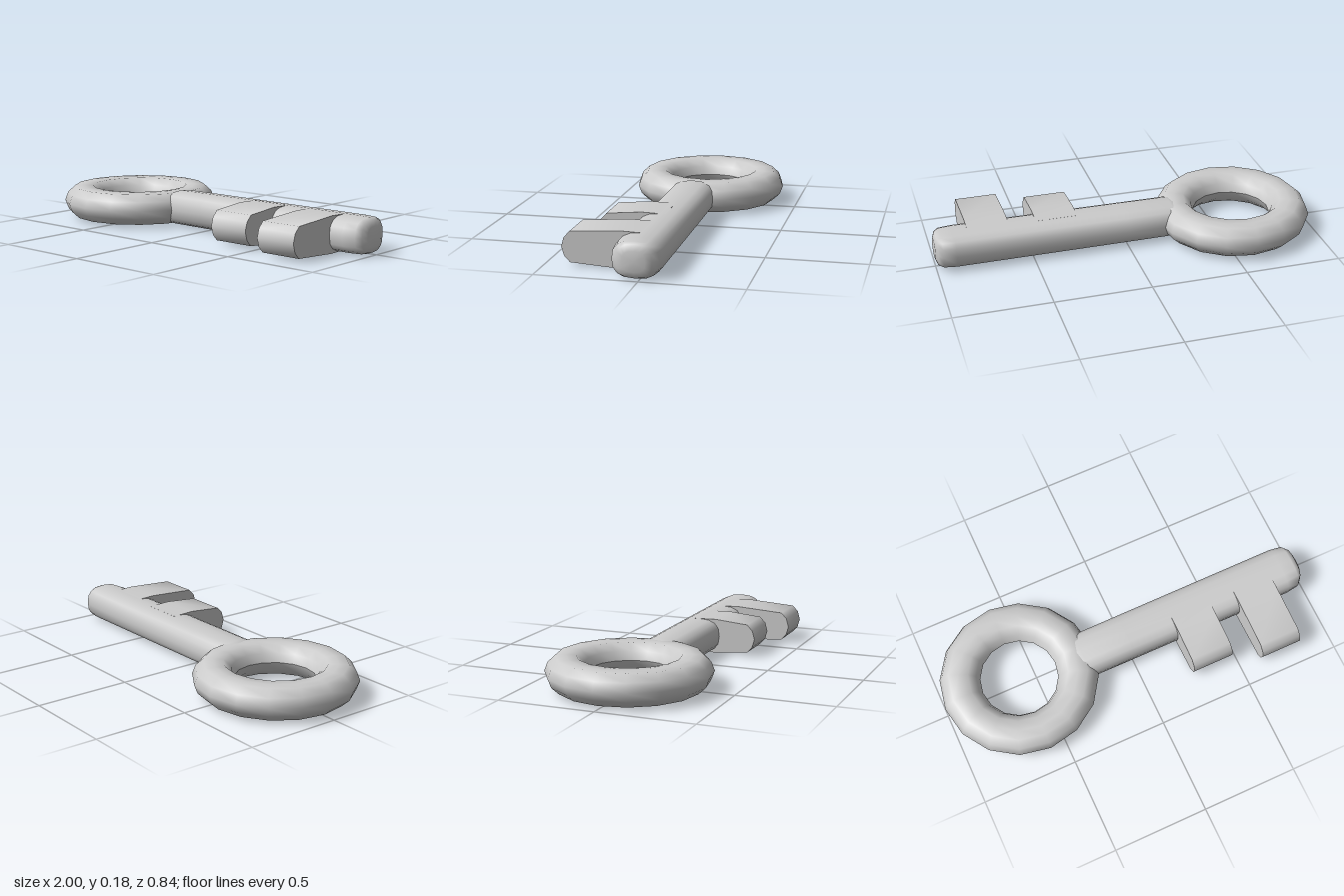
import * as THREE from 'three';
import { toCreasedNormals } from 'three/addons/utils/BufferGeometryUtils.js';

const MID = 0.095; // height of the key's middle plane

// Skin of rounded rings along x; each station is [x, halfDepth, halfHeight]
function loft(stations, section, zCentre) {
  const n = section.length;
  const positions = [];
  const index = [];
  stations.forEach(([x, depth, height], i) => {
    section.forEach(([z, y], j) => {
      positions.push(x, MID + y * height, zCentre + z * depth);
      if (i === stations.length - 1) return;
      const a = i * n + j;
      const b = i * n + (j + 1) % n;
      index.push(a, a + n, b, b, a + n, b + n);
    });
  });
  const geometry = new THREE.BufferGeometry();
  geometry.setAttribute('position', new THREE.Float32BufferAttribute(positions, 3));
  geometry.setIndex(index);
  geometry.computeVertexNormals();
  return geometry;
}

// Key tooth: side profile with a blunt nose, extruded across x
function toothGeometry(x0, x1, reach) {
  const upper = [[0, 0.088], [0.12, 0.092], [reach - 0.042, 0.076], [reach - 0.013, 0.045]];
  const lower = upper.map(([z, y]) => [z, -y]).reverse();
  const outline = [...lower.reverse(), [reach, 0], ...upper.slice().reverse()];
  const shape = new THREE.Shape(outline.map(([z, y]) => new THREE.Vector2(z, MID + y)));
  const geometry = new THREE.ExtrudeGeometry(shape, { depth: x1 - x0, bevelEnabled: false });
  geometry.rotateY(-Math.PI / 2).translate(x1, 0, 0);
  return toCreasedNormals(geometry, 0.9);
}

export function createModel() {
  const key = new THREE.Group();
  key.name = 'key';
  const material = new THREE.MeshStandardMaterial({ color: 0xcccccc });
  const add = (name, geometry) => {
    const mesh = new THREE.Mesh(geometry, material);
    mesh.name = name;
    key.add(mesh);
    return mesh;
  };

  // Ring handle: flattened tube, 16 sides around
  const ringSection = [
    [-0.105, 0], [-0.088, -0.045], [-0.05, -0.08], [0, -0.081], [0.05, -0.08], [0.088, -0.045],
    [0.105, 0], [0.088, 0.045], [0.05, 0.08], [0, 0.081], [-0.05, 0.08], [-0.088, 0.045], [-0.105, 0],
  ].map(([r, y]) => new THREE.Vector2(0.307 + r, y));
  add('ringHandle', new THREE.LatheGeometry(ringSection, 16)).position.set(-0.588, MID, -0.008);

  // Shaft: rounded bar, tapering into the ring and rounded at the tip
  const barSection = [];
  for (let i = 0; i < 16; i++) {
    const a = (i / 16) * Math.PI * 2;
    const soften = (v) => Math.sign(v) * Math.abs(v) ** 0.75;
    barSection.push([soften(Math.cos(a)), soften(Math.sin(a))]);
  }
  add('shaft', loft([
    [-0.34, 0, 0], [-0.33, 0.085, 0.06], [-0.25, 0.119, 0.088], [0, 0.12, 0.089], [0.9, 0.122, 0.09],
    [0.965, 0.112, 0.088], [0.988, 0.085, 0.08], [1, 0.055, 0.05], [1, 0, 0],
  ], barSection, 0.02));

  // Teeth: short inner one, longer one near the tip
  [[0.253, 0.472, 0.34], [0.61, 0.826, 0.417]].forEach(([x0, x1, reach], i) => {
    add(i ? 'outerTooth' : 'innerTooth', toothGeometry(x0, x1, reach));
  });

  return key;
}
